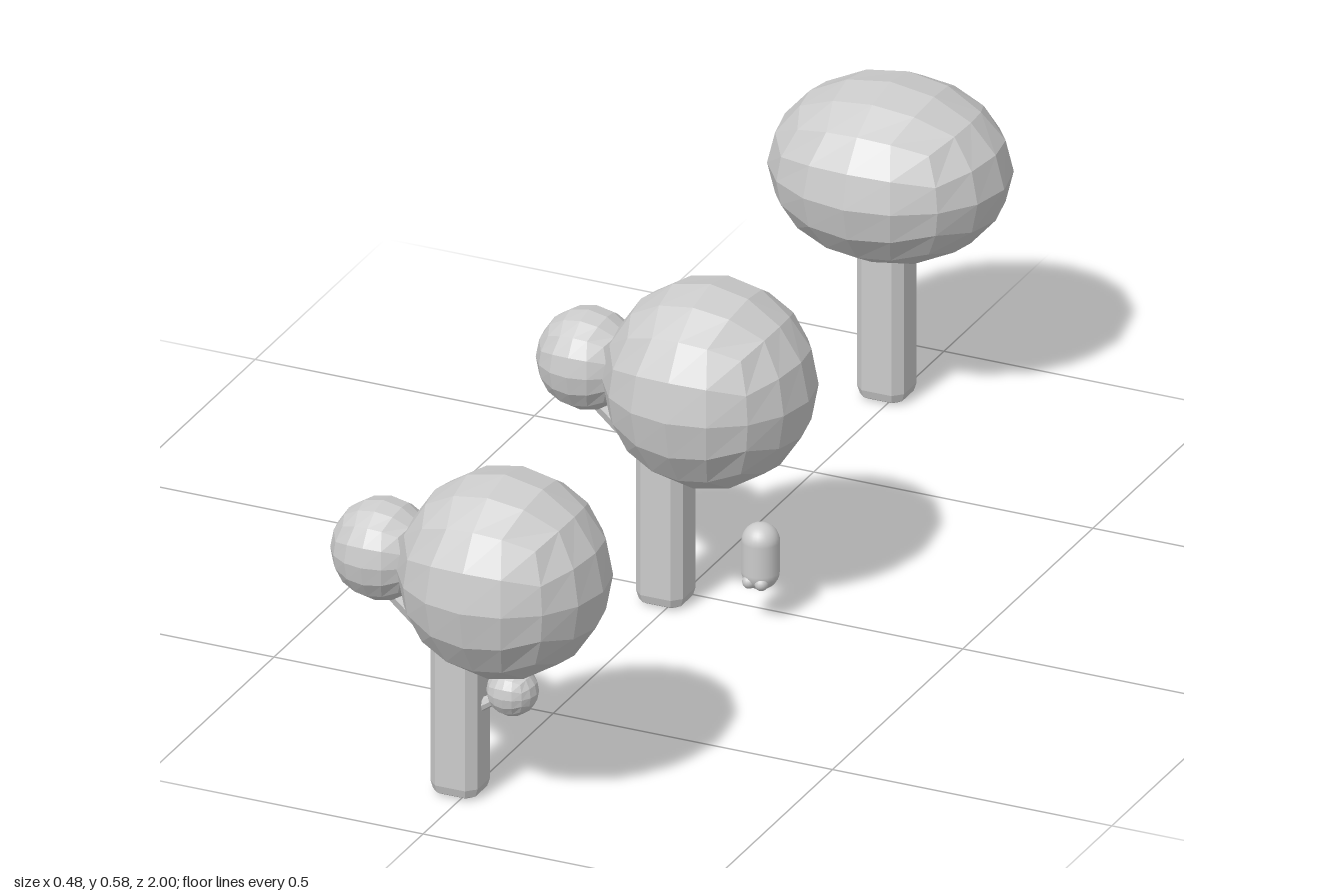
import * as THREE from 'three';

const flat = new THREE.MeshStandardMaterial({ color: 0xcccccc, flatShading: true });
const smooth = new THREE.MeshStandardMaterial({ color: 0xcccccc });

function add(parent, name, geometry, material, x, y, z) {
  const mesh = new THREE.Mesh(geometry, material);
  mesh.name = name;
  mesh.position.set(x, y, z);
  parent.add(mesh);
  return mesh;
}

// Ball made from a cube of 4 x 4 faces per side, pushed out to a sphere
function quadBall(rx, ry, rz) {
  const geo = new THREE.BoxGeometry(2, 2, 2, 4, 4, 4);
  const pos = geo.attributes.position;
  const v = new THREE.Vector3();
  const even = (t) => Math.tan(t * Math.PI / 4);
  for (let i = 0; i < pos.count; i++) {
    v.fromBufferAttribute(pos, i);
    v.set(even(v.x), even(v.y), even(v.z)).normalize();
    pos.setXYZ(i, v.x * rx, v.y * ry, v.z * rz);
  }
  geo.computeVertexNormals();
  return geo;
}

// Square post with chamfered edges and a rounded foot
function trunkGeometry() {
  const bevel = 0.014, h = 0.042 - bevel, d = 0.0395 - bevel, c = 0.007;
  const shape = new THREE.Shape([
    [h - c, -d], [h, c - d], [h, d - c], [h - c, d],
    [c - h, d], [-h, d - c], [-h, c - d], [c - h, -d],
  ].map(([x, y]) => new THREE.Vector2(x, y)));
  const geo = new THREE.ExtrudeGeometry(shape, {
    depth: 0.3, bevelEnabled: true, bevelSize: bevel, bevelThickness: 0.02, bevelSegments: 2,
  });
  return geo.rotateX(-Math.PI / 2).translate(0, 0.022, 0);
}

// Tapered rod between two points in the xy plane
function addRod(parent, name, from, to, r0, r1) {
  const a = new THREE.Vector3(...from, 0), b = new THREE.Vector3(...to, 0);
  const dir = b.clone().sub(a);
  const mid = a.clone().add(b).multiplyScalar(0.5);
  const rod = add(parent, name, new THREE.CylinderGeometry(r1, r0, dir.length(), 8), flat, mid.x, mid.y, 0);
  rod.quaternion.setFromUnitVectors(new THREE.Vector3(0, 1, 0), dir.normalize());
}

function makeTree(name, z) {
  const tree = new THREE.Group();
  tree.name = name;
  tree.position.z = z;
  add(tree, 'trunk', trunkGeometry(), flat, -0.015, 0, 0);
  return tree;
}

// Round crown with a smaller crown on a side branch
function addDoubleCrown(tree) {
  add(tree, 'crown', quadBall(0.176, 0.176, 0.175), flat, 0.065, 0.41, 0);
  add(tree, 'sideCrown', quadBall(0.086, 0.086, 0.086), flat, -0.153, 0.41, 0);
  addRod(tree, 'branch', [-0.02, 0.245], [-0.155, 0.36], 0.021, 0.019);
}

export function createModel() {
  const model = new THREE.Group();
  model.name = 'treeRow';

  // Front tree with a round fruit on a twig
  const front = makeTree('frontTree', 0.825);
  addDoubleCrown(front);
  addRod(front, 'twig', [0.01, 0.155], [0.075, 0.198], 0.011, 0.009);
  add(front, 'roundFruit', quadBall(0.043, 0.043, 0.043), flat, 0.079, 0.201, 0);

  // Middle tree with a long pod beside it
  const middle = makeTree('middleTree', 0.036);
  addDoubleCrown(middle);
  add(middle, 'pod', new THREE.CapsuleGeometry(0.0315, 0.053, 10, 24), smooth, 0.155, 0.116, 0);
  for (const side of [-1, 1]) {
    const bump = add(middle, 'podBump', new THREE.SphereGeometry(1, 16, 12), smooth,
      0.155 + side * 0.011, 0.076, 0.02);
    bump.scale.set(0.0115, 0.012, 0.013);
  }

  // Back tree with a single wide crown
  const back = makeTree('backTree', -0.813);
  add(back, 'wideCrown', quadBall(0.204, 0.153, 0.182), flat, -0.01, 0.412, -0.003);

  model.add(front, middle, back);
  return model;
}
